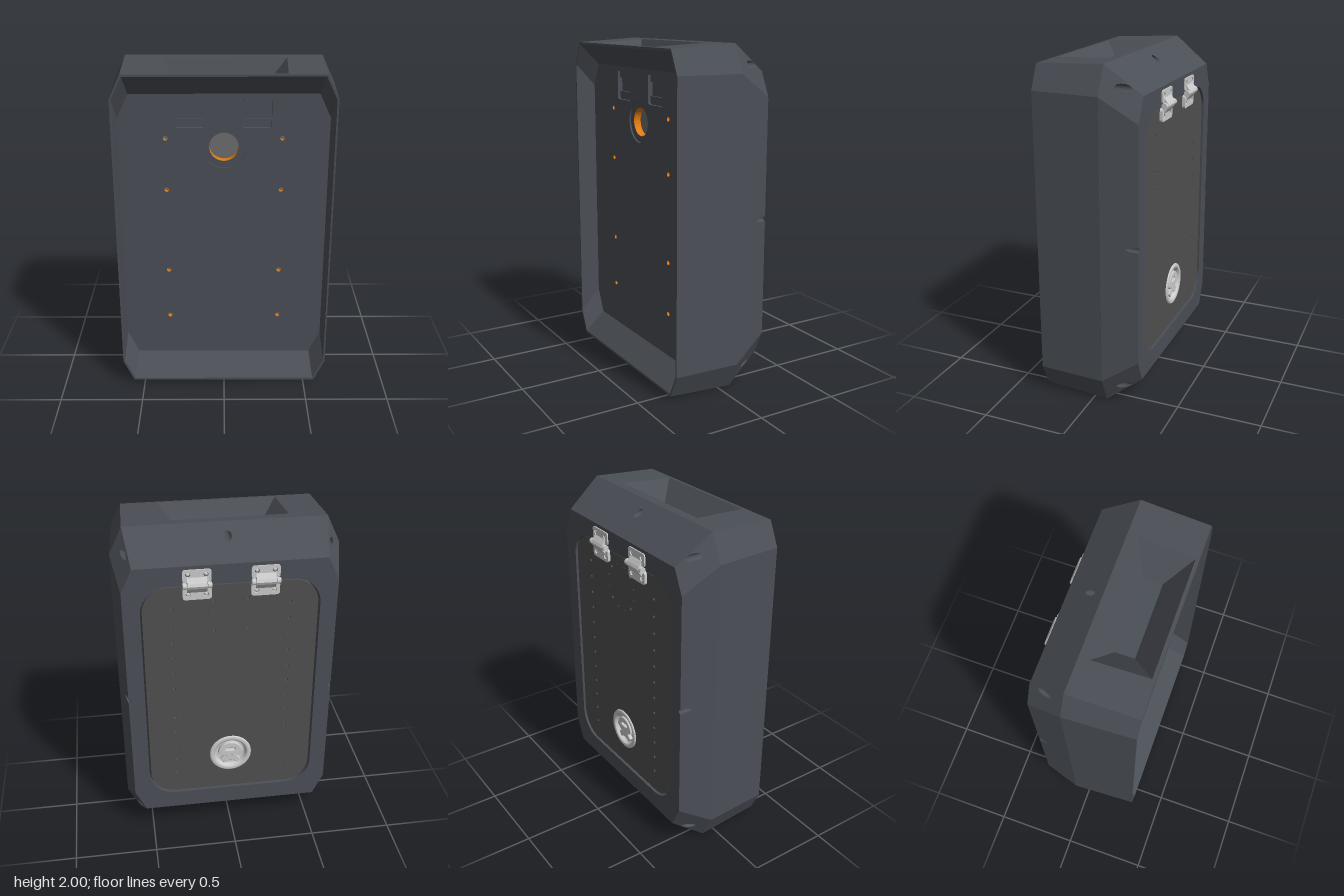
import * as THREE from 'three';

const mat = (color, side = THREE.FrontSide) => new THREE.MeshStandardMaterial({ color, side });
const V2 = (x, y) => new THREE.Vector2(x, y);
const V3 = (x, y, z) => new THREE.Vector3(x, y, z);

// 2D loops, counter-clockwise seen from the front
const oct = (w, a, b, h) => [[w, -a], [w, a], [b, h], [-b, h], [-w, a], [-w, -a], [-b, -h], [b, -h]].map(p => V2(...p));
const arc = (cx, cy, r, a0, a1, n) => Array.from({ length: n + 1 }, (_, i) => {
  const t = THREE.MathUtils.degToRad(a0 + (a1 - a0) * i / n);
  return V2(cx + r * Math.cos(t), cy + r * Math.sin(t));
});
const circle = (cx, cy, r, n = 20) => arc(cx, cy, r, 0, 360, n).slice(0, -1);
const roundRect = (cx, cy, w, h, r, n = 6) => [[1, -1, -90], [1, 1, 0], [-1, 1, 90], [-1, -1, 180]].flatMap(
  ([sx, sy, a]) => arc(cx + sx * (w / 2 - r), cy + sy * (h / 2 - r), r, a, a + 90, n));
const at = (loop, z) => loop.map(p => V3(p.x, p.y, z));
const shapeOf = (loop, holes = []) => {
  const s = new THREE.Shape(loop);
  s.holes = holes.map(h => new THREE.Path(h));
  return s;
};

// Flat-shaded strip between two loops; skip leaves out some sides
function band(a, b, skip = []) {
  const pts = [];
  a.forEach((p, i) => {
    if (skip.includes(i)) return;
    const j = (i + 1) % a.length;
    pts.push(p, b[i], b[j], p, b[j], a[j]);
  });
  const g = new THREE.BufferGeometry().setFromPoints(pts);
  g.computeVertexNormals();
  return g;
}

// Depth of the bevelled back: the highest of its planes
function backZ(x, y) {
  x = Math.abs(x); y = Math.abs(y);
  return -0.29 + 0.21 * Math.max(0, (y - 0.84) / 0.16, (x - 0.605) / 0.045,
    (0.14 * x + 0.065 * y - 0.1302) / 0.0153);
}
function backFacet(loop, holes) {
  const g0 = new THREE.ShapeGeometry(shapeOf(loop, holes)), p = g0.attributes.position;
  for (let i = 0; i < p.count; i++) p.setZ(i, backZ(p.getX(i), p.getY(i)));
  g0.index.array.reverse();
  const g = g0.toNonIndexed();
  g.computeVertexNormals();
  return g;
}

export function createModel() {
  const root = new THREE.Group();
  root.name = 'wallCase';
  const body = new THREE.Group();
  body.name = 'case';
  body.position.y = 1;
  root.add(body);

  const shell = mat(0x4b4f56), bore = mat(0x4b4f56, THREE.DoubleSide), doorMat = mat(0x505050);
  const orange = mat(0xe07a10, THREE.DoubleSide), grey = mat(0xcccccc), backing = mat(0x2c2e31, THREE.DoubleSide);
  const inner = mat(0x6e6e6e, THREE.DoubleSide);
  const add = (name, g, m, parent = body) => {
    const mesh = new THREE.Mesh(g, m);
    mesh.name = name;
    parent.add(mesh);
    return mesh;
  };
  const disc = (loop, z) => new THREE.ShapeGeometry(shapeOf(loop)).translate(0, 0, z);

  // Side walls, front rim and sloping inner walls
  const front = at(oct(0.63, 0.84, 0.565, 0.978), 0.32);
  const middle = at(oct(0.65, 0.84, 0.575, 1), -0.08);
  const mouth = at(oct(0.62, 0.835, 0.557, 0.965), 0.32);
  const floorLoop = oct(0.605, 0.7, 0.54, 0.84);
  add('sideWalls', band(front, middle, [2, 6]), shell);
  add('frontRim', band(mouth, front), shell);
  add('innerWalls', band(at(floorLoop, 0.2), mouth), shell);

  // Top and bottom walls, each with a tapered hand pocket
  const wallY = z => 1 - 0.055 * (z + 0.08);
  const quad = (x0, z0, x1, z1, y) => [[x1, z1], [x0, z0], [-x0, z0], [-x1, z1]].map(([x, z]) => V3(x, y ?? wallY(z), z));
  for (const [name, turn] of [['top', 0], ['bottom', Math.PI]]) {
    const g = new THREE.Group();
    g.name = name + 'Wall';
    g.rotation.z = turn;
    body.add(g);
    const edge = quad(0.575, -0.08, 0.565, 0.32), lip = quad(0.365, -0.02, 0.35, 0.3);
    const base = quad(0.225, 0.06, 0.225, 0.17, 0.83);
    const c = V3(0, 0.83, 0.115);
    add(name + 'Panel', band(lip, edge), shell, g);
    add(name + 'PocketSides', band(base, lip), shell, g);
    add(name + 'PocketFloor', band([c, c, c, c], base), shell, g);
  }

  // Front floor with viewing hole, screw holes and hinge recesses
  const holeY = 0.525, rows = Array.from({ length: 12 }, (_, i) => 0.58 - 0.105 * i);
  const screws = [0, 3, 8, 11].flatMap(i => [-0.335, 0.335].map(x => [x, rows[i]]));
  const recess = s => roundRect(s * 0.19, 0.73, 0.165, 0.18, 0.015, 3);
  const big = circle(0, holeY, 0.125, 40), small = circle(0, holeY, 0.085, 40);
  add('frontFloor', new THREE.ShapeGeometry(shapeOf(floorLoop,
    [big, recess(1), recess(-1), ...screws.map(([x, y]) => circle(x, y, 0.014, 12))])).translate(0, 0, 0.2), shell);
  add('holeStepWall', band(at(big, 0.19), at(big, 0.2)), shell);
  add('holeStep', band(at(small, 0.19), at(big, 0.19)), shell);
  add('holeLining', band(at(small, 0.145), at(small, 0.19)), orange);
  add('holeWindow', disc(small, 0.145), inner);
  for (const [x, y] of screws) {
    const l = circle(x, y, 0.014, 12);
    add('screwHoleLining', band(at(l, 0.17), at(l, 0.2)), orange);
    add('screwHoleEnd', disc(l, 0.17), inner);
  }
  for (const s of [-1, 1]) {
    add('hingeRecessWall', band(at(recess(s), 0.17), at(recess(s), 0.2)), bore);
    add('hingeRecessFloor', disc(recess(s), 0.17), shell);
    for (const y of [0.795, 0.665]) {
      add('hingeRecessStep', new THREE.BoxGeometry(0.163, 0.048, 0.015), shell).position.set(s * 0.19, y, 0.1775);
    }
  }

  // Bevelled back with bolt bores sunk straight in
  const doorway = roundRect(0, 0, 1.015, 1.45, 0.16, 10), notch = 0.015;
  const o = floorLoop;
  add('backFrame', backFacet([o[0], ...arc(0.605, 0, notch, 270, 90, 8), ...o.slice(1, 5),
    ...arc(-0.605, 0, notch, 90, -90, 8), ...o.slice(5)], [doorway]), shell);
  const bores = [];
  for (const s of [-1, 1]) {
    bores.push([0, s * 0.943, 0.02], [s * 0.605, 0, notch]);
    add('endBevel', backFacet([V2(-0.54, s * 0.84), V2(0.54, s * 0.84), V2(0.575, s), V2(-0.575, s)],
      [circle(0, s * 0.943, 0.02)]), shell);
    add('sideBevel', backFacet([V2(0.605, -0.7), V2(0.65, -0.84), V2(0.65, 0.84), V2(0.605, 0.7),
      ...arc(0.605, 0, notch, 90, -90, 8)].map(p => V2(p.x * s, p.y))), shell);
    for (const t of [-1, 1]) {
      bores.push([s * 0.571, t * 0.883, 0.02]);
      add('cornerBevel', backFacet([[0.605, 0.7], [0.65, 0.84], [0.575, 1], [0.54, 0.84]].map(([x, y]) => V2(x * s, y * t)),
        [circle(s * 0.571, t * 0.883, 0.02)]), shell);
    }
  }
  for (const [x, y, r] of bores) {
    const l = circle(x, y, r), deep = backZ(x, y) + 0.09;
    add('boltBoreWall', band(l.map(p => V3(p.x, p.y, backZ(p.x, p.y))), at(l, deep)), bore);
    add('boltBoreEnd', disc(l, deep), bore);
  }

  // Door set into the back, with rows of small holes
  const latchY = -0.455;
  const doorHoles = [circle(0, latchY, 0.115, 32)];
  for (const y of rows) for (const x of [-0.335, 0.335]) doorHoles.push(circle(x, y, 0.009, 8));
  for (let i = 0; i < 12; i++) {
    const a = (i + 0.5) * Math.PI / 6;
    doorHoles.push(circle(0.137 * Math.cos(a), holeY + 0.137 * Math.sin(a), i % 3 === 1 ? 0.009 : 0.005, 8));
  }
  add('doorwayWall', band(at(doorway, -0.29), at(doorway, -0.25)), bore);
  add('doorBacking', new THREE.ShapeGeometry(shapeOf(doorway, [doorHoles[0]])).translate(0, 0, -0.25), backing);
  add('door', new THREE.ExtrudeGeometry(shapeOf(roundRect(0, 0, 0.995, 1.43, 0.15, 10), doorHoles),
    { depth: 0.028, bevelEnabled: false }).translate(0, 0, -0.28), doorMat);

  // Hinges: two screwed leaves, a faired barrel and end knuckles
  for (const s of [-1, 1]) {
    const hinge = new THREE.Group();
    hinge.name = 'hinge';
    hinge.position.set(s * 0.19, 0.73, 0);
    body.add(hinge);
    for (const t of [-1, 1]) {
      const holes = [-0.05, 0.05].map(x => circle(x, t * 0.06, 0.014, 16));
      add('hingeLeaf', new THREE.ExtrudeGeometry(shapeOf(roundRect(0, t * 0.052, 0.16, 0.076, 0.015, 4), holes),
        { depth: 0.02, bevelEnabled: false }).translate(0, 0, -0.297), grey, hinge);
      for (const x of [-0.05, 0.05]) {
        add('hingeScrew', new THREE.SphereGeometry(0.011, 12, 8).scale(1, 1, 0.5), grey, hinge).position.set(x, t * 0.06, -0.289);
      }
      add('hingeKnuckle', new THREE.CylinderGeometry(0.018, 0.018, 0.022, 16).rotateZ(Math.PI / 2), grey, hinge)
        .position.set(t * 0.069, 0, -0.306);
    }
    const fairing = new THREE.Shape([V2(0.28, -0.045), V2(0.297, -0.045), V2(0.318, -0.016), V2(0.325, 0),
      V2(0.318, 0.016), V2(0.297, 0.045), V2(0.28, 0.045)]);
    add('hingeBarrel', new THREE.ExtrudeGeometry(fairing, { depth: 0.11, bevelEnabled: false })
      .rotateY(Math.PI / 2).translate(-0.055, 0, 0).applyMatrix4(new THREE.Matrix4().makeRotationY(Math.PI / 2)), grey, hinge)
      .geometry.translate(0, 0, 0).rotateY(0);
    // Profile depth runs along -z, barrel length along x
    const barrel = hinge.children[hinge.children.length - 1];
    barrel.geometry = new THREE.ExtrudeGeometry(fairing, { depth: 0.11, bevelEnabled: false })
      .translate(0, 0, -0.055).rotateY(Math.PI / 2);
  }

  // Flush round latch: dished plate, paddle and finger tab
  const latch = new THREE.Group();
  latch.name = 'latch';
  latch.position.set(0, latchY, -0.28);
  latch.rotation.y = Math.PI;
  body.add(latch);
  const dish = [[0.13, -0.002], [0.128, 0.006], [0.122, 0.01], [0.108, 0.01], [0.1, 0.006], [0.093, -0.015], [0.085, -0.02], [0, -0.02]];
  add('latchDish', new THREE.LatheGeometry(dish.map(p => V2(...p)), 40).rotateX(Math.PI / 2), grey, latch);
  const bevel = { depth: 0.016, bevelThickness: 0.005, bevelSize: 0.005, bevelSegments: 2 };
  const paddle = [...arc(0, 0.005, 0.07, 0, 180, 16), V2(-0.045, -0.015), V2(0.045, -0.015)];
  add('latchPaddle', new THREE.ExtrudeGeometry(shapeOf(paddle, [roundRect(0, 0.03, 0.07, 0.03, 0.014, 4)]), bevel)
    .translate(0, 0, -0.016), grey, latch);
  const tab = [V2(-0.03, -0.02), V2(-0.055, -0.05), V2(-0.04, -0.07), V2(-0.015, -0.055), V2(0.015, -0.055),
    V2(0.04, -0.07), V2(0.055, -0.05), V2(0.03, -0.02)];
  add('latchTab', new THREE.ExtrudeGeometry(shapeOf(tab), bevel).translate(0, 0, -0.018), grey, latch);
  return root;
}
